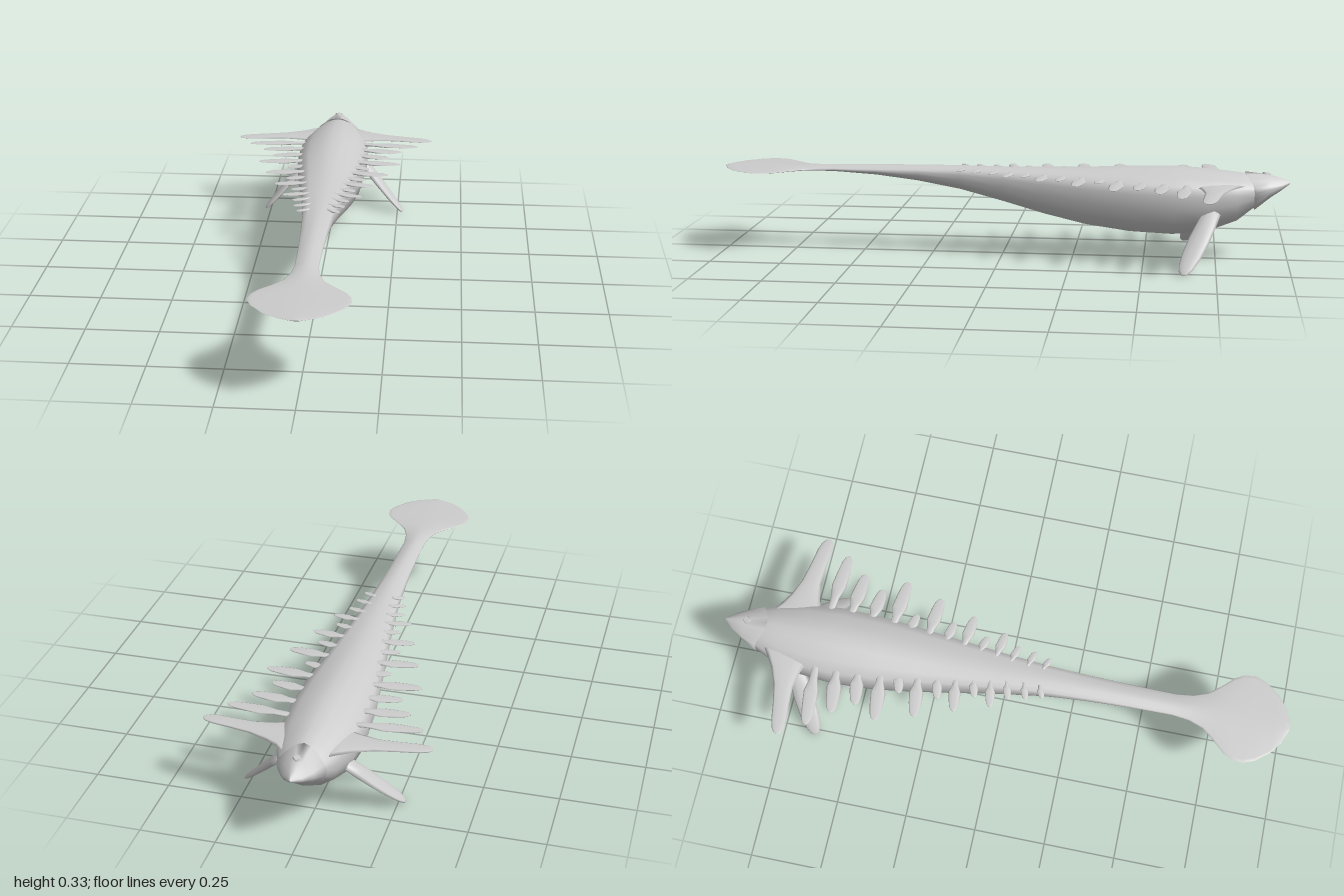
import * as THREE from 'three';

const skin = new THREE.MeshStandardMaterial({ color: 0xcccccc });
skin.name = 'paleGrey';

// Skin a list of equal-length closed rings, cap the ends, face outward
function loft(rings) {
  const n = rings[0].length, pts = rings.flat(), idx = [];
  for (let r = 0; r < rings.length - 1; r++) {
    for (let i = 0; i < n; i++) {
      const a = r * n + i, b = r * n + (i + 1) % n;
      idx.push(a, b, a + n, b, b + n, a + n);
    }
  }
  const last = (rings.length - 1) * n;
  for (let i = 1; i < n - 1; i++) {
    idx.push(0, i + 1, i, last, last + i, last + i + 1);
  }
  let volume = 0;
  for (let i = 0; i < idx.length; i += 3) {
    volume += pts[idx[i]].dot(pts[idx[i + 1]].clone().cross(pts[idx[i + 2]]));
  }
  if (volume < 0) idx.reverse();
  const geo = new THREE.BufferGeometry().setFromPoints(pts);
  geo.setIndex(idx);
  geo.computeVertexNormals();
  return geo;
}

// Half of the trunk section: above the fin line, then below it
const UPPER = [[0, 1], [0.3, 0.88], [0.65, 0.45], [0.92, 0]];
const LOWER = [[1, 0.82], [0.97, 0.57], [0.85, 0.29], [0.42, 0.06], [0, 0]];

function trunkRing([z, w, top, bottom, line], lean = 0) {
  const half = [
    ...UPPER.map(([x, t]) => [x * w, line + t * (top - line), z + lean * t]),
    ...LOWER.map(([x, t]) => [x * w, bottom + t * (line - bottom), z]),
  ];
  const other = half.slice(1, -1).reverse().map(([x, y, zz]) => [-x, y, zz]);
  return [...half, ...other].map((p) => new THREE.Vector3(...p));
}

// Flat elliptical ring for fins and flippers
function bladeRing(center, chord, thick) {
  return Array.from({ length: 10 }, (_, i) => {
    const a = (i / 10) * Math.PI * 2;
    return center.clone().addScaledVector(chord, Math.cos(a)).addScaledVector(thick, Math.sin(a));
  });
}

// z, half width, top, bottom, fin line
const BODY = [
  [-0.93, 0.05, 0.285, 0.235, 0.265], [-0.88, 0.075, 0.302, 0.19, 0.266],
  [-0.82, 0.1, 0.312, 0.14, 0.268], [-0.72, 0.125, 0.322, 0.1, 0.272],
  [-0.6, 0.134, 0.329, 0.086, 0.277], [-0.45, 0.127, 0.325, 0.092, 0.283],
  [-0.3, 0.108, 0.317, 0.112, 0.289], [-0.15, 0.088, 0.313, 0.147, 0.295],
  [0, 0.069, 0.312, 0.19, 0.3], [0.15, 0.054, 0.314, 0.23, 0.303],
  [0.3, 0.046, 0.314, 0.258, 0.302], [0.45, 0.041, 0.312, 0.277, 0.3],
  [0.6, 0.039, 0.309, 0.287, 0.3], [0.66, 0.047, 0.308, 0.289, 0.3],
  [0.71, 0.066, 0.307, 0.291, 0.3], [0.75, 0.1, 0.306, 0.292, 0.3],
  [0.79, 0.138, 0.306, 0.293, 0.3], [0.82, 0.155, 0.305, 0.294, 0.3],
  [0.86, 0.16, 0.305, 0.295, 0.3], [0.9, 0.145, 0.304, 0.295, 0.3],
  [0.95, 0.105, 0.304, 0.296, 0.3], [0.98, 0.063, 0.303, 0.297, 0.3],
  [1, 0.015, 0.302, 0.298, 0.3],
];
const HEAD = [
  [-0.88, 0.081, 0.314, 0.18, 0.268], [-0.93, 0.057, 0.305, 0.222, 0.27],
  [-0.97, 0.033, 0.293, 0.25, 0.272], [-1, 0.004, 0.282, 0.272, 0.277],
];

// Side fins: z position and reach from the centre line
const FINS = [
  [-0.635, 0.325], [-0.56, 0.265], [-0.485, 0.22], [-0.405, 0.265], [-0.345, 0.15],
  [-0.275, 0.225], [-0.21, 0.145], [-0.145, 0.18], [-0.085, 0.115], [-0.025, 0.14],
  [0.03, 0.1], [0.09, 0.09], [0.145, 0.075],
];
// Fraction of length, chord factor
const FIN_SHAPE = [[0, 0.5], [0.25, 0.6], [0.45, 1.1], [0.7, 0.95], [0.88, 0.75], [0.96, 0.5], [1, 0.1]];

// Front fin: x, leading z, trailing z
const FRONT_FIN = [
  [0.05, -0.86, -0.67], [0.1, -0.825, -0.68], [0.14, -0.8, -0.695], [0.2, -0.775, -0.707],
  [0.27, -0.76, -0.703], [0.33, -0.75, -0.698], [0.36, -0.74, -0.7], [0.372, -0.73, -0.708],
  [0.376, -0.722, -0.715],
];

// Flipper: fraction of length, half chord, half thickness
const FLIPPER = [
  [0, 0.03, 0.015], [0.2, 0.034, 0.015], [0.45, 0.037, 0.012], [0.7, 0.034, 0.009],
  [0.88, 0.026, 0.007], [0.97, 0.016, 0.005], [1, 0.005, 0.002],
];

export function createModel() {
  const model = new THREE.Group();
  model.name = 'seaCreature';
  const add = (name, geo) => {
    const mesh = new THREE.Mesh(geo, skin);
    mesh.name = name;
    model.add(mesh);
    return mesh;
  };

  add('bodyAndTailFluke', loft(BODY.map((s) => trunkRing(s))));

  // Head shell with a pointed rear crest
  add('head', loft(HEAD.map((s, i) => trunkRing(s, i === 0 ? 0.035 : 0))));

  // Small diamond on the crown
  const diamond = add('crownDiamond', new THREE.CylinderGeometry(0.013, 0.016, 0.006, 4));
  diamond.position.set(0, 0.308, -0.92);
  diamond.rotation.x = -0.17;

  for (const side of [1, -1]) {
    const label = side > 0 ? 'left' : 'right';
    const v = (x, y, z) => new THREE.Vector3(side * x, y, z);

    add(label + 'FrontFin', loft(FRONT_FIN.map(([x, z0, z1], i) => bladeRing(
      v(x, 0.274 - 0.01 * x, (z0 + z1) / 2),
      v(0, 0, (z1 - z0) / 2),
      v(0, 0.008 * (1 - i / 9), 0)))));

    FINS.forEach(([z, reach], k) => {
      const root = Math.max(0.03, 0.1 - 0.1 * (z + 0.6));
      const start = Math.min(root, reach * 0.5);
      const chord = Math.min(0.024, 0.006 + 0.075 * reach);
      const y = 0.301 + 0.04 * z;
      add(label + 'SideFin' + (k + 1), loft(FIN_SHAPE.map(([t, c]) => bladeRing(
        v(start + (reach - start) * t, y, z - 0.012 + 0.016 * t),
        v(0, 0, chord * c),
        v(0, 0.006 * (1 - 0.8 * t), 0)))));
    });

    // Lower flipper, sweeping down and toward the tail
    const from = v(0.1, 0.185, -0.735), to = v(0.27, 0.003, -0.637);
    const chordDir = v(-0.34, 0.21, 0.92);
    const thickDir = to.clone().sub(from).cross(chordDir).normalize();
    add(label + 'Flipper', loft(FLIPPER.map(([t, c, h]) => bladeRing(
      from.clone().lerp(to, t),
      chordDir.clone().multiplyScalar(c),
      thickDir.clone().multiplyScalar(h)))));
  }
  return model;
}
